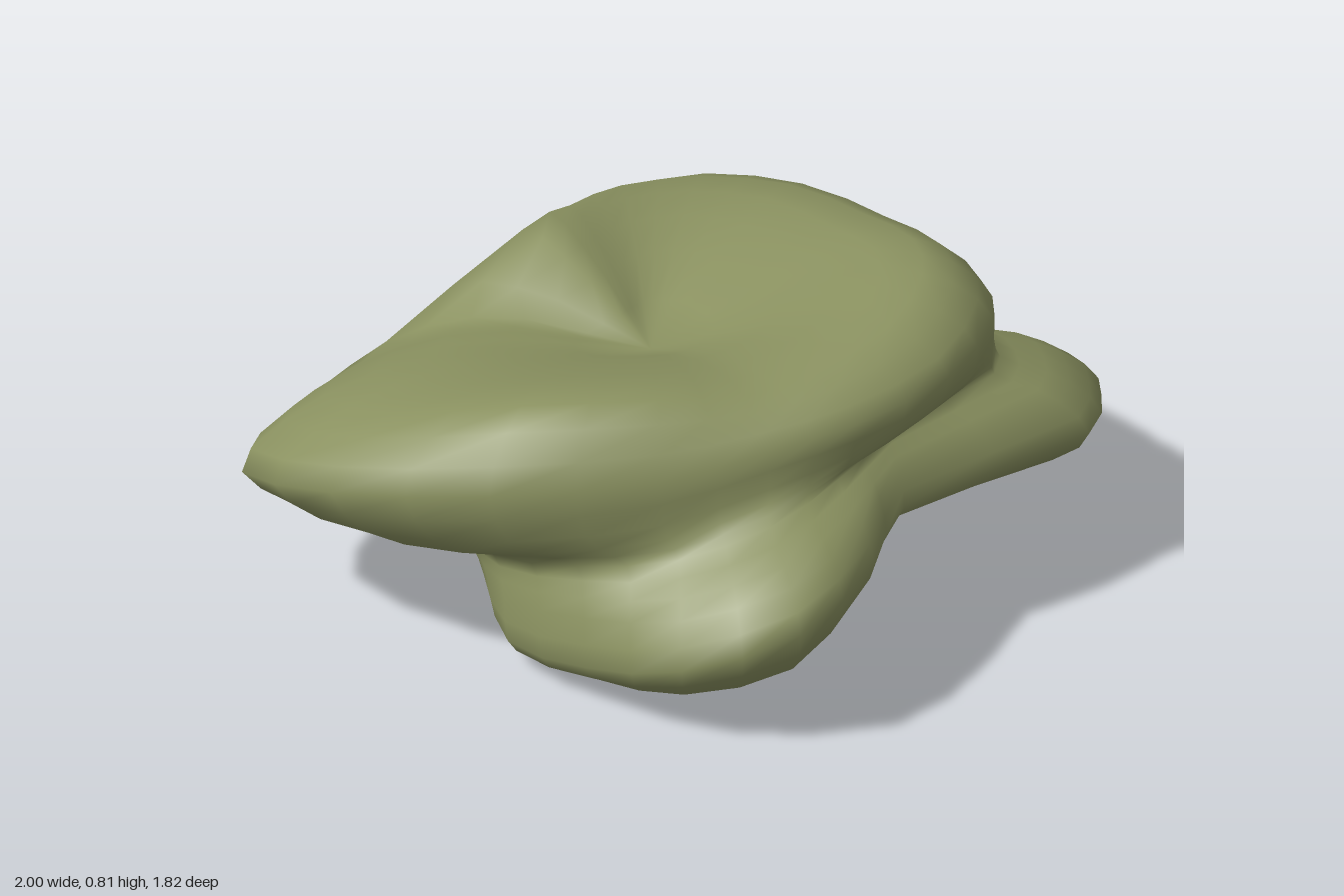
import * as THREE from 'three';
import { mergeVertices } from 'three/addons/utils/BufferGeometryUtils.js';

const V = (x, y, z) => new THREE.Vector3(x, y, z);

// Upper rim, from the front round by +x: x, y, z and the height of the top face just inside it.
const upperRim = [
  [0, .6, .66, .73], [.25, .64, .58, .71], [.45, .66, .48, .73], [.66, .68, .28, .77], [.75, .7, .03, .8],
  [.71, .66, -.22, .78], [.55, .6, -.47, .73], [.32, .52, -.78, .66], [.06, .49, -.9, .62],
  [-.17, .41, -.81, .63], [-.31, .3, -.58, .68], [-.44, .24, -.37, .71], [-.84, .29, -.17, .48],
  [-.93, .33, .02, .5], [-1, .38, .27, .54], [-.78, .48, .53, .62], [-.4, .57, .69, .72],
];
// Lower rim in the same order: x, y, z and the height of the underside just inside it.
const lowerRim = [
  [.06, .2, .89, .07], [.34, .31, .9, .14], [.5, .36, .63, .22], [.56, .38, .4, .31], [.98, .37, .02, .28],
  [1, .35, -.2, .25], [.95, .29, -.43, .2], [.74, .2, -.57, .13], [.43, .13, -.63, .09],
  [.1, .1, -.62, .05], [-.15, .08, -.5, .03], [-.37, .07, -.32, .02], [-.4, .07, -.08, .01],
  [-.41, .09, .14, .01], [-.41, .1, .34, .01], [-.36, .07, .53, 0], [-.17, .11, .72, .03],
];

const rimCurve = rim => new THREE.CatmullRomCurve3(rim.map(p => V(p[0], p[1], p[2])), true);
const heightCurve = rim => new THREE.CatmullRomCurve3(rim.map(p => V(0, p[3], 0)), true, 'catmullrom');

// One vertical section: underside, lower lip, waist, upper lip, dished top.
function section(U, topY, L, bottomY) {
  const gap = U.y - L.y;
  const bottom = V(.08, .09, .02), top = V(-.05, .57, 0);
  const b2 = L.clone().lerp(bottom, .5); b2.y = .75 * bottomY + .015;
  const b1 = L.clone().lerp(bottom, .16); b1.y = bottomY;
  const waist = L.clone().lerp(U, .5);
  const pull = Math.min(1, gap / .3);
  waist.x -= pull * (waist.x - .1) * (.21 - .08 * waist.x);
  waist.z -= pull * waist.z * (.14 - .05 * waist.z);
  const lowerTop = L.clone().lerp(waist, .4); lowerTop.y += .12 * gap;
  const upperLow = U.clone().lerp(waist, .3); upperLow.y -= .2 * gap;
  const t1 = U.clone().lerp(top, .18); t1.y = topY;
  const t2 = U.clone().lerp(top, .52); t2.y = .42 + .38 * topY;
  return new THREE.CatmullRomCurve3([bottom, b2, b1, L, lowerTop, waist, upperLow, U, t1, t2, top]);
}

// Skin the sections into one closed surface.
function stoneGeometry(columns = 34, rows = 26) {
  const upper = rimCurve(upperRim), lower = rimCurve(lowerRim);
  const topHeight = heightCurve(upperRim), bottomHeight = heightCurve(lowerRim);
  const pos = [], index = [];
  for (let i = 0; i < columns; i++) {
    const t = i / columns;
    const curve = section(upper.getPoint(t), topHeight.getPoint(t).y,
      lower.getPoint(t), bottomHeight.getPoint(t).y);
    for (const p of curve.getPoints(rows)) pos.push(p.x, p.y, p.z);
  }
  const at = (i, j) => (i % columns) * (rows + 1) + j;
  for (let i = 0; i < columns; i++) {
    for (let j = 0; j < rows; j++) {
      const a = at(i, j), b = at(i + 1, j), c = at(i + 1, j + 1), d = at(i, j + 1);
      if (j > 0) index.push(a, b, c);
      if (j < rows - 1) index.push(a, c, d);
    }
  }
  let geo = new THREE.BufferGeometry();
  geo.setAttribute('position', new THREE.Float32BufferAttribute(pos, 3));
  geo.setIndex(index);
  geo = mergeVertices(geo, 1e-4);

  // Stand it on the ground.
  geo.computeBoundingBox();
  geo.translate(0, -geo.boundingBox.min.y, 0);
  geo.computeVertexNormals();
  return geo;
}

export function createModel() {
  const group = new THREE.Group();
  group.name = 'lobedStone';
  const moss = new THREE.MeshStandardMaterial({ color: 0x8a9160 });
  moss.name = 'moss green';
  const stone = new THREE.Mesh(stoneGeometry(), moss);
  stone.name = 'stone';
  group.add(stone);
  return group;
}
